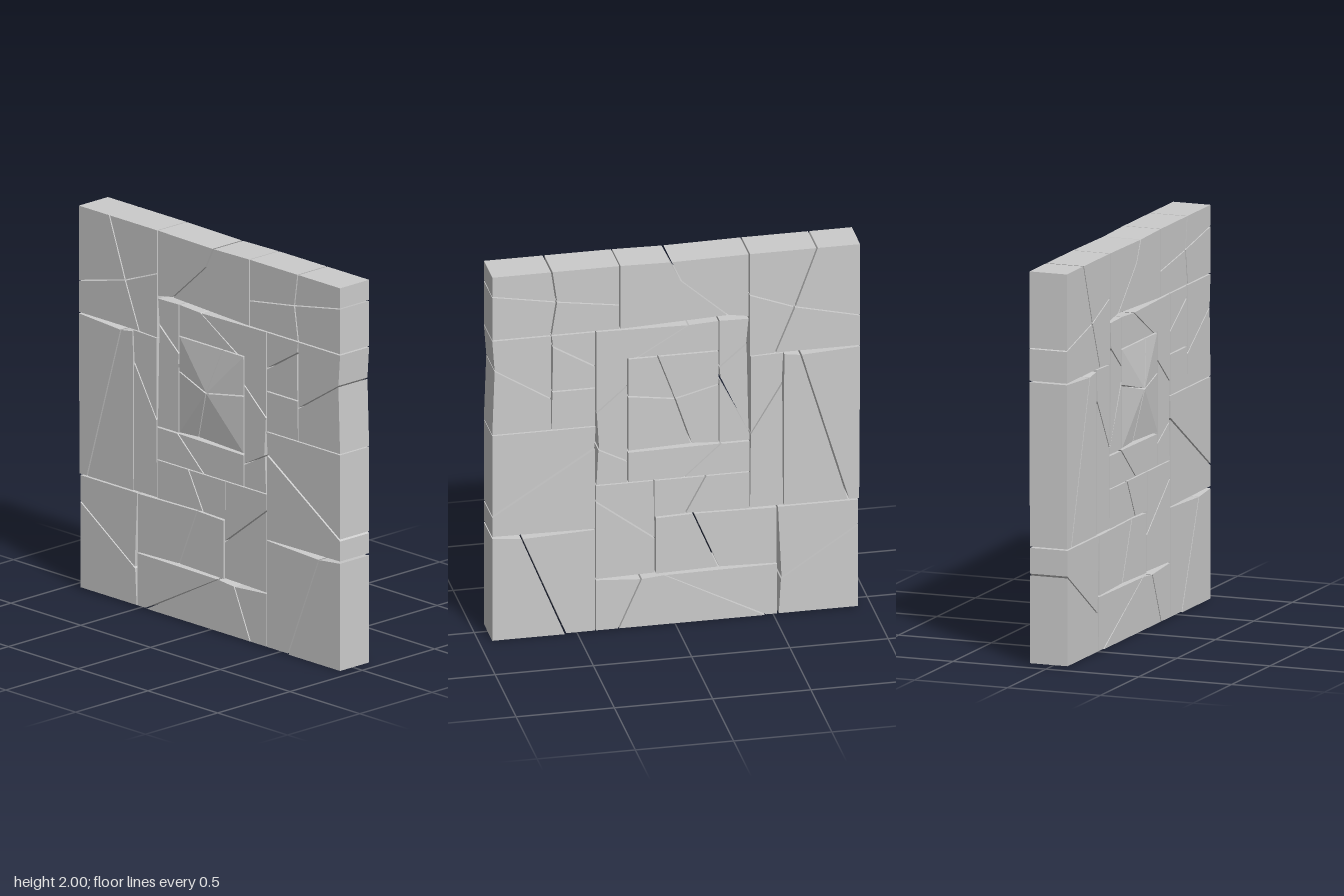
import * as THREE from 'three';
import { ConvexGeometry } from 'three/addons/geometries/ConvexGeometry.js';

const BACK = -0.113, FRONT = 0.088, PEAK = 0.118;
const material = new THREE.MeshStandardMaterial({ color: 0xcccccc, flatShading: true });

// Each stone is an outline of x, y pairs; the gaps between outlines are the joints.
const topLeft = [
  [-.94, 2, -.725, 2, -.612, 1.69, -.94, 1.612],
  [-.717, 2, -.38, 2, -.38, 1.777, -.604, 1.692],
  [-.94, 1.606, -.61, 1.684, -.512, 1.445, -.94, 1.445],
  [-.602, 1.686, -.38, 1.77, -.38, 1.44, -.504, 1.445],
];
const topMiddle = [
  [-.373, 2, .018, 1.995, -.034, 1.887, -.27, 1.677, -.373, 1.66],
  [.028, 1.995, .28, 2, .28, 1.655, .25, 1.655, -.262, 1.676, -.026, 1.887],
];
const topRight = [
  [.286, 2, .625, 2, .602, 1.836, .286, 1.789],
  [.633, 2, .932, 2, .932, 1.895, .61, 1.838],
  [.286, 1.783, .602, 1.83, .629, 1.655, .286, 1.655],
  [.61, 1.832, .932, 1.889, .932, 1.655, .637, 1.655],
];
const rightSide = [
  [.408, 1.648, .63, 1.648, .622, 1.592, .408, 1.464],
  [.408, 1.455, .622, 1.583, .626, 1.345, .408, 1.345],
  [.634, 1.648, .932, 1.648, .92, 1.487, .634, 1.308],
  [.634, 1.3, .92, 1.48, .932, 1.133, .634, 1.133],
  [.408, 1.338, .626, 1.338, .63, 1.133, .408, 1.133],
  [.406, 1.127, .932, 1.127, .932, .687, .412, 1.016],
  [.41, 1.005, .932, .676, .932, .572, .41, .566],
  [.41, .56, .776, .545, .555, .005, .41, .005],
  [.784, .545, .932, .56, .932, 0, .563, 0],
];
const leftSide = [
  [-.94, 1.437, -.643, 1.42, -.885, .602, -.935, .602],
  [-.635, 1.42, -.554, 1.432, -.552, .602, -.876, .602],
  [-.548, 1.44, -.384, 1.435, -.384, 1.018, -.541, 1.28],
  [-.543, 1.268, -.384, 1.006, -.38, .605, -.547, .605],
  [-.93, .594, -.522, .594, -.54, .206, -.93, .463],
  [-.93, .454, -.537, .196, -.526, .008, -.93, .008],
];
const bottomMiddle = [
  [-.515, .592, -.096, .599, -.223, .296, -.515, .288],
  [-.088, .599, .098, .592, .098, .288, -.215, .296],
  [-.518, .281, .05, .275, -.464, .008, -.518, .008],
  [.058, .275, .17, .265, .285, .005, -.454, .005],
  [.178, .265, .404, .281, .404, .005, .293, .005],
  [.106, .48, .404, .708, .404, .288, .106, .295],
];
const middleBand = [
  [-.376, .8, -.158, .8, -.054, .607, -.376, .602],
  [-.15, .8, .106, .8, .106, .602, -.045, .606],
  [.112, .8, .404, .8, .404, .717, .106, .49],
  [-.376, .97, -.235, .97, -.05, .806, -.376, .806],
  [-.226, .972, .24, .967, .24, .806, -.04, .806],
];
const innerRing = [
  [-.372, 1.645, -.225, 1.648, -.225, 1.4, -.36, 1.515],
  [-.362, 1.505, -.225, 1.39, -.23, 1.335, -.372, 1.026],
  [-.225, 1.318, -.225, .979, -.377, .979, -.377, 1.014],
  [-.218, 1.648, -.07, 1.64, .187, 1.488, -.218, 1.488],
  [-.062, 1.64, .402, 1.648, .402, 1.207, .246, 1.342, .246, 1.488, .2, 1.488],
  [.246, 1.332, .4, 1.198, .388, 1, .246, .926],
  [.246, .918, .392, .995, .402, .806, .246, .806],
];
// Centre stones list their raised inner corner first.
const centre = [
  [.001, 1.247, -.218, 1.303, -.218, 1.481, .086, 1.481],
  [.007, 1.247, .092, 1.481, .238, 1.481, .24, 1.281],
  [.005, 1.24, .24, 1.273, .24, .979, -.077, .99],
  [-.002, 1.24, -.084, .99, -.218, .982, -.218, 1.296],
];

const toPoints = (flat) => {
  const points = [];
  for (let i = 0; i < flat.length; i += 2) points.push(new THREE.Vector2(flat[i], flat[i + 1]));
  return points;
};

// Straight slab with flat front and back
function slab(flat) {
  const shape = new THREE.Shape(toPoints(flat));
  return new THREE.ExtrudeGeometry(shape, { depth: FRONT - BACK, bevelEnabled: false }).translate(0, 0, BACK);
}

// Slab whose first corner rises to the peak at the front
function peakedSlab(flat) {
  const corners = toPoints(flat).flatMap((p, i) => [
    new THREE.Vector3(p.x, p.y, BACK),
    new THREE.Vector3(p.x, p.y, i === 0 ? PEAK : FRONT),
  ]);
  return new ConvexGeometry(corners);
}

export function createModel() {
  const model = new THREE.Group();
  model.name = 'crackedStoneWall';
  const regions = {
    topLeft, topMiddle, topRight, rightSide, leftSide, bottomMiddle, middleBand, innerRing, centre,
  };
  for (const [name, outlines] of Object.entries(regions)) {
    const group = new THREE.Group();
    group.name = `${name}Stones`;
    outlines.forEach((outline, i) => {
      const geometry = name === 'centre' ? peakedSlab(outline) : slab(outline);
      const stone = new THREE.Mesh(geometry, material);
      stone.name = `${name}Stone${i + 1}`;
      group.add(stone);
    });
    model.add(group);
  }
  return model;
}
